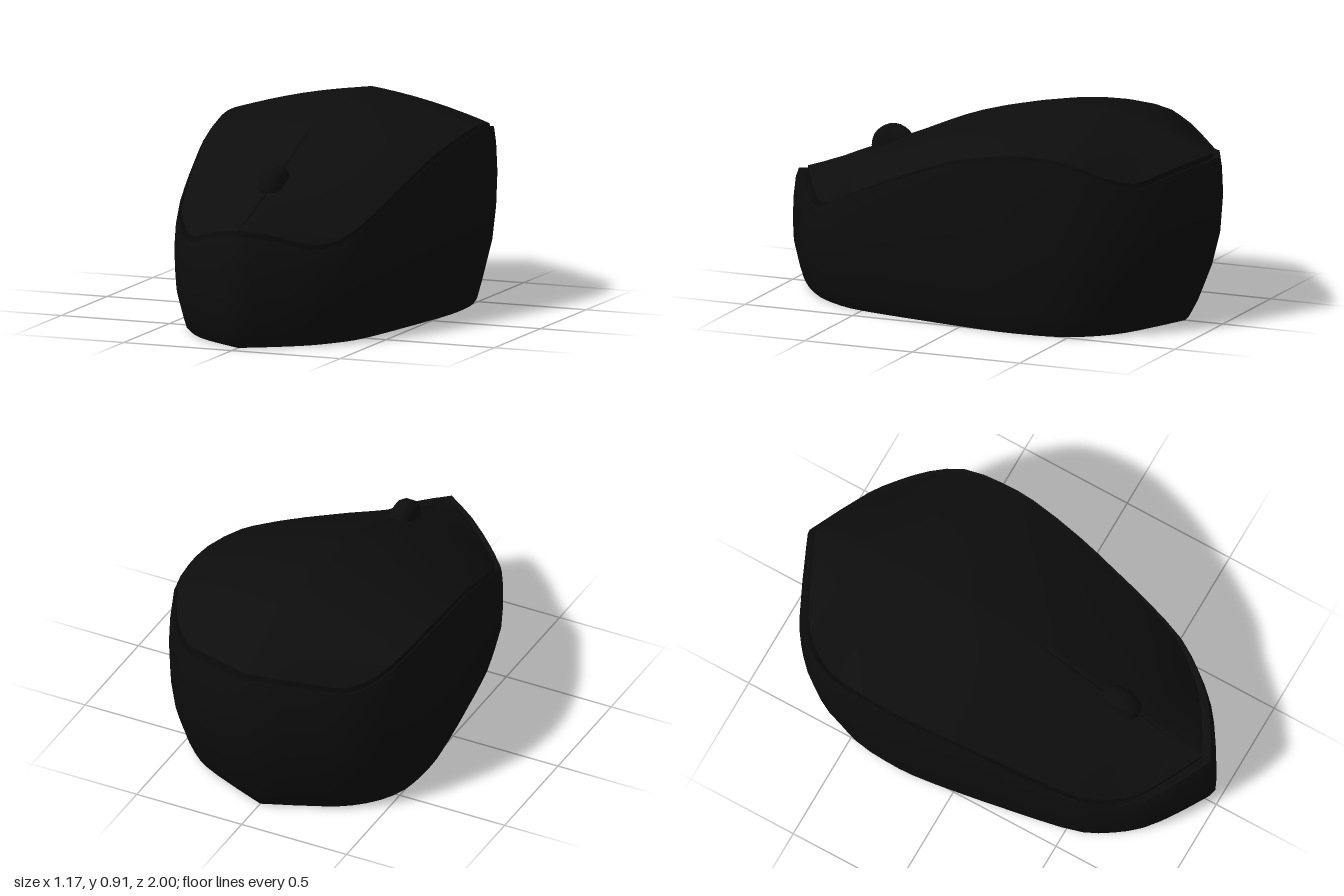
import * as THREE from 'three';
import { mergeVertices, toCreasedNormals } from 'three/addons/utils/BufferGeometryUtils.js';

// Half outline from front tip to back tip: x, seam height, z, height of the centre line
const STATIONS = [
  [0, 0.49, 1, 0.505], [0.14, 0.465, 0.92, 0.53], [0.28, 0.42, 0.82, 0.565],
  [0.365, 0.43, 0.72, 0.605], [0.435, 0.49, 0.6, 0.648], [0.485, 0.575, 0.4, 0.725],
  [0.52, 0.65, 0.21, 0.80], [0.55, 0.71, 0.04, 0.85], [0.583, 0.765, -0.22, 0.897],
  [0.584, 0.775, -0.37, 0.906], [0.565, 0.755, -0.55, 0.892], [0.5, 0.695, -0.69, 0.855],
  [0.4, 0.66, -0.8, 0.82], [0.29, 0.685, -0.87, 0.79], [0, 0.73, -1, 0.745],
];
// Side wall: fraction of seam height, then scale of x, front z and back z
const WALL = [
  [0, 0.885, 0.93, 0.825], [0.03, 0.905, 0.95, 0.845], [0.13, 0.93, 0.967, 0.885],
  [0.35, 0.98, 0.995, 0.95], [0.55, 0.995, 1, 0.988], [0.75, 1, 0.996, 1],
  [0.92, 0.992, 0.986, 0.994], [1, 0.982, 0.972, 0.985],
];
const SHELL_X = 0.96, SHELL_FRONT = 0.93, SHELL_BACK = 0.955;

function sampleStations(steps) {
  const edge = new THREE.CatmullRomCurve3(STATIONS.map(([x, y, z]) => new THREE.Vector3(x, y, z)));
  const ridge = new THREE.CatmullRomCurve3(STATIONS.map(([, , z, c]) => new THREE.Vector3(0, c, z)));
  return Array.from({ length: steps + 1 }, (_, i) => {
    const p = edge.getPoint(i / steps);
    const end = i === 0 || i === steps;
    return { x: end ? 0 : Math.max(p.x, 0), y: p.y, z: p.z, top: ridge.getPoint(i / steps).y };
  });
}

// Skin over rows of points, outward when rows run right then up
function skin(rows, crease) {
  const cols = rows[0].length;
  const index = [];
  for (let j = 0; j < rows.length - 1; j++) {
    for (let i = 0; i < cols - 1; i++) {
      const a = j * cols + i, b = a + 1, c = a + cols, d = c + 1;
      index.push(a, b, d, a, d, c);
    }
  }
  let geo = new THREE.BufferGeometry();
  geo.setAttribute('position', new THREE.Float32BufferAttribute(rows.flat(2), 3));
  geo.setIndex(index);
  geo = mergeVertices(geo, 1e-5);
  return toCreasedNormals(geo, crease);
}

export function createModel() {
  const group = new THREE.Group();
  const black = new THREE.MeshStandardMaterial({ color: 0x0d0d0d });
  black.name = 'black plastic';
  const add = (name, geo) => {
    const mesh = new THREE.Mesh(geo, black);
    mesh.name = name;
    group.add(mesh);
    return mesh;
  };

  const half = sampleStations((STATIONS.length - 1) * 2);
  const loop = [...half, ...half.slice(0, -1).reverse().map((p) => ({ ...p, x: -p.x }))];
  const ring = (fn, sx, sf, sb) => loop.map((p) => [p.x * sx, fn(p), p.z * (p.z > 0 ? sf : sb)]);

  // Lower body: bulging wall that rolls into the seam
  const wall = WALL.map(([t, sx, sf, sb]) => ring((p) => p.y * t, sx, sf, sb));
  wall.push(ring((p) => p.y - 0.004, 0.968, 0.955, 0.968));
  wall.push(ring((p) => p.y - 0.035, 0.945, 0.91, 0.935));
  add('lowerBody', skin(wall, 1.15));

  // Flat underside
  const [, bx, bf, bb] = WALL[0];
  add('underside', skin(half.map((p) => [1, 0, -1].map((u) =>
    [u * p.x * bx, 0, p.z * (p.z > 0 ? bf : bb)])), 0.5));

  // Top shell: domed across, with a fine groove between the two buttons
  const sides = [0.02, 0.05, 0.2, 0.35, 0.5, 0.65, 0.8, 0.92, 1];
  const columns = [...sides.map((u) => -u).reverse(), 0, ...sides];
  const shell = half.map((p) => columns.map((u) => {
    const a = Math.abs(u);
    const rim = Math.min(p.y + 0.015, p.top);
    const groove = u === 0 && p.z > 0.2 && p.z < 0.98 ? 0.012 : 0;
    const y = p.top - (p.top - rim) * (0.5 * a + 0.5 * a * a) - groove;
    return [u * p.x * SHELL_X, y, p.z * (p.z > 0 ? SHELL_FRONT : SHELL_BACK)];
  }));
  add('topShell', skin(shell, 1.15));

  // Edge of the shell dropping into the seam
  const rimHeight = (p) => Math.min(p.y + 0.015, p.top);
  add('shellEdge', skin([
    ring((p) => p.y - 0.05, SHELL_X - 0.012, SHELL_FRONT - 0.01, SHELL_BACK - 0.01),
    ring(rimHeight, SHELL_X, SHELL_FRONT, SHELL_BACK),
  ], 1.15));

  // Scroll wheel with rounded tread
  const profile = [[0, -0.048], [0.065, -0.048], [0.085, -0.036], [0.096, -0.016],
    [0.096, 0.016], [0.085, 0.036], [0.065, 0.048], [0, 0.048]];
  const wheel = add('scrollWheel', new THREE.LatheGeometry(
    profile.map(([r, y]) => new THREE.Vector2(r, y)), 24));
  wheel.rotation.z = Math.PI / 2;
  wheel.position.set(0, 0.63, 0.53);

  return group;
}
